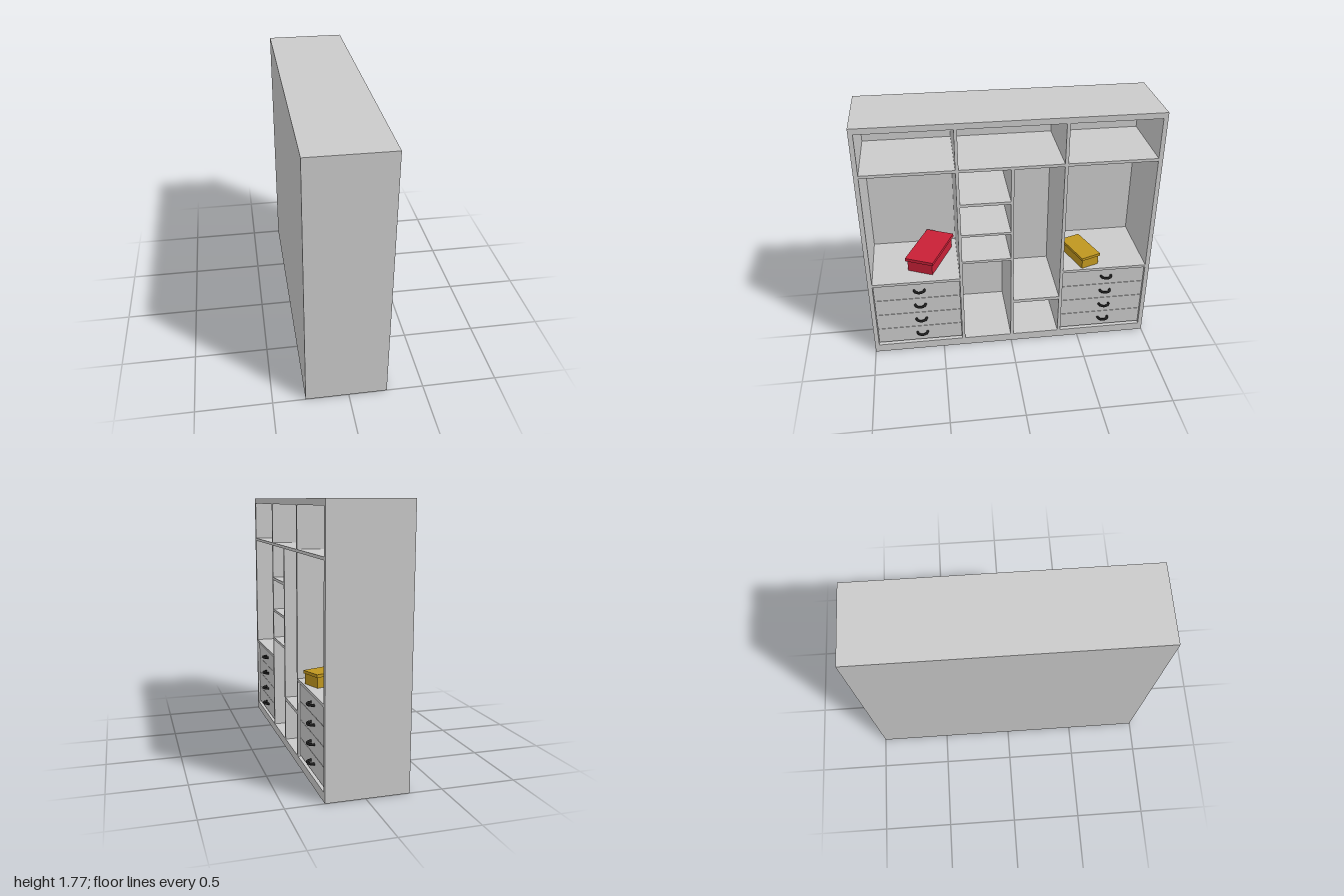
import * as THREE from 'three';

const mat = (name, hex) => {
  const m = new THREE.MeshStandardMaterial({ color: hex });
  m.name = name;
  return m;
};

export function createModel() {
  const panelMat = mat('light grey panel', 0xcacaca);
  const railMat = mat('grey metal', 0x787878);
  const handleMat = mat('black handle', 0x1c1c1c);
  const redMat = mat('red card', 0xc82036);
  const goldMat = mat('gold card', 0xbf961f);

  const wardrobe = new THREE.Group();
  wardrobe.name = 'wardrobe';

  const X0 = -0.285, X1 = 0.255, BACK = -0.265, H = 1.77;

  // Box given by its limits on each axis
  const block = (name, [xa, xb], [ya, yb], [za, zb], material = panelMat) => {
    const m = new THREE.Mesh(new THREE.BoxGeometry(xb - xa, yb - ya, zb - za), material);
    m.position.set((xa + xb) / 2, (ya + yb) / 2, (za + zb) / 2);
    m.name = name;
    wardrobe.add(m);
    return m;
  };

  // Outer carcass
  block('base', [X0, X1], [0, 0.06], [-1, 1]);
  block('topPanel', [X0, X1], [1.73, H], [-1, 1]);
  block('leftSide', [X0, X1], [0.06, 1.73], [0.97, 1]);
  block('rightSide', [X0, X1], [0.06, 1.73], [-1, -0.97]);
  block('backPanel', [X0, BACK], [0.06, 1.73], [-0.97, 0.97]);

  // Upright dividers
  const inside = [BACK, X1];
  block('divider', inside, [0.06, 1.73], [0.342, 0.363]);
  block('divider', inside, [0.06, 1.73], [-0.37, -0.348]);
  block('middleDivider', inside, [0.06, 1.43], [-0.016, 0.004]);

  // Shelves: bottom, top, z range
  const A = [0.363, 0.97], B = [0.004, 0.342], C = [-0.348, -0.016], D = [-0.97, -0.37];
  [
    [1.43, 1.45, A], [1.43, 1.45, [-0.348, 0.342]], [1.43, 1.45, D],
    [0.58, 0.6, A], [0.58, 0.6, D],
    [1.175, 1.195, B], [0.94, 0.957, B], [0.724, 0.742, B],
    [0.35, 0.374, C],
  ].forEach(([ya, yb, z]) => block('shelf', inside, [ya, yb], z));

  // Hanging rails
  [[1.34, A], [1.34, C], [1.34, D], [0.637, B]].forEach(([y, [za, zb]]) => {
    const rail = new THREE.Mesh(
      new THREE.CylinderGeometry(0.021, 0.021, zb - za, 24).rotateX(Math.PI / 2), railMat);
    rail.position.set(-0.013, y, (za + zb) / 2);
    rail.name = 'hangingRail';
    wardrobe.add(rail);
  });

  // Drawer stacks with half-ring handles
  const handleGeo = new THREE.TorusGeometry(0.036, 0.009, 12, 24, Math.PI)
    .rotateZ(-Math.PI / 2).rotateX(Math.PI / 2);
  [[A, 0.65], [D, -0.69]].forEach(([[za, zb], handleZ]) => {
    for (let i = 0; i < 4; i++) {
      const y = 0.073 + i * 0.126;
      block('drawer', [BACK, 0.241], [y, y + 0.123], [za + 0.003, zb - 0.003]);
      const handle = new THREE.Mesh(handleGeo, handleMat);
      handle.position.set(0.24, 0.141 + i * 0.1265, handleZ);
      handle.name = 'drawerHandle';
      wardrobe.add(handle);
    }
  });

  // Lidded storage boxes standing on the drawer units
  const storageBox = (name, material, x, z, length, width, height, lid, lip, turn) => {
    const g = new THREE.Group();
    g.name = name;
    const body = new THREE.Mesh(
      new THREE.BoxGeometry(length - 2 * lip, height - lid, width - 2 * lip), material);
    body.position.y = (height - lid) / 2;
    body.name = 'boxBody';
    const cover = new THREE.Mesh(new THREE.BoxGeometry(length, lid, width), material);
    cover.position.y = height - lid / 2;
    cover.name = 'boxLid';
    g.add(body, cover);
    g.position.set(x, 0.6, z);
    g.rotation.y = THREE.MathUtils.degToRad(turn);
    wardrobe.add(g);
  };
  storageBox('redBox', redMat, -0.027, 0.5575, 0.4, 0.209, 0.108, 0.023, 0.012, -24.5);
  storageBox('goldBox', goldMat, 0.089, -0.525, 0.29, 0.15, 0.09, 0.02, 0.008, 20);

  return wardrobe;
}
